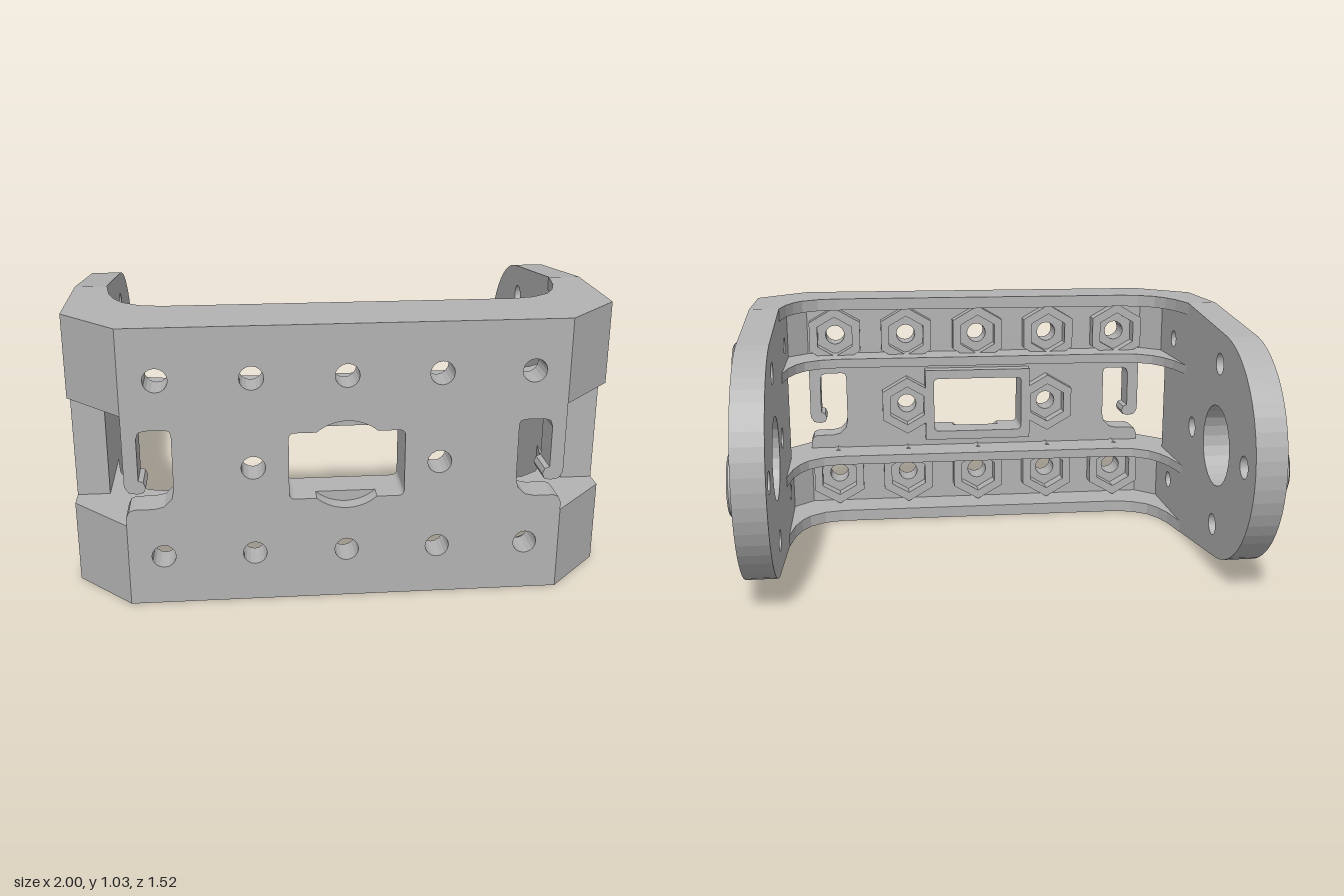
import * as THREE from 'three';
import { toCreasedNormals } from 'three/addons/utils/BufferGeometryUtils.js';

const H = 1.03, MID = 0.515, PITCH = 0.33;

export function createModel() {
  const model = new THREE.Group();
  model.name = 'servoBracket';
  const grey = new THREE.MeshStandardMaterial({ color: 0xb2b2b2 });
  grey.name = 'grey plastic';

  const add = (name, geometry, parent = model) => {
    const mesh = new THREE.Mesh(geometry, grey);
    mesh.name = name;
    parent.add(mesh);
    return mesh;
  };
  const polygon = (pts) => new THREE.Shape(pts.map(([x, y]) => new THREE.Vector2(x, y)));
  const circle = (x, y, r) => new THREE.Path().absarc(x, y, r, 0, Math.PI * 2, false);
  const extrude = (shape, depth, curveSegments = 8) =>
    new THREE.ExtrudeGeometry(shape, { depth, bevelEnabled: false, curveSegments });
  // Extrude an (x, z) outline upward from y0 to y1
  const plan = (pts, y0, y1) =>
    extrude(polygon(pts.map(([x, z]) => [x, -z])), y1 - y0).rotateX(-Math.PI / 2).translate(0, y0, 0);
  const mirrored = (pts) => [...pts, ...pts.map(([x, y]) => [-x, y]).reverse()];

  // Rounded window opening, optionally widened by a round recess
  const windowPath = (recess) => {
    const p = new THREE.Path(), a = Math.asin(0.125 / 0.165), q = Math.PI / 2;
    p.absarc(0.185, 0.62, 0.02, 0, q);
    if (recess) p.absarc(0, MID, 0.165, a, Math.PI - a);
    p.absarc(-0.185, 0.62, 0.02, q, 2 * q);
    p.absarc(-0.185, 0.41, 0.02, 2 * q, 3 * q);
    if (recess) p.absarc(0, MID, 0.165, Math.PI + a, 2 * Math.PI - a);
    p.absarc(0.185, 0.41, 0.02, 3 * q, 4 * q);
    return p;
  };

  // Screw positions on the front plate
  const screws = [[-PITCH, MID], [PITCH, MID]];
  for (const y of [0.185, 0.845])
    for (const x of [-0.655, -PITCH, 0, PITCH, 0.655]) screws.push([x, y]);

  // Front plate with cable hooks cut into both ends
  const edge = [
    [0.78, 0], [0.78, 0.34], [0.77, 0.362], [0.75, 0.37], [0.68, 0.37], [0.645, 0.378],
    [0.618, 0.405], [0.61, 0.44], [0.61, 0.645], [0.615, 0.66], [0.63, 0.665], [0.7, 0.665],
    [0.722, 0.658], [0.73, 0.635], [0.73, 0.48], [0.713, 0.474], [0.705, 0.453],
    [0.713, 0.435], [0.735, 0.43], [0.765, 0.435], [0.78, 0.46], [0.78, H],
  ];
  for (const [name, z, recess] of [['frontPlateInner', 0.64, false], ['frontPlateOuter', 0.7, true]]) {
    const shape = polygon(mirrored(edge));
    shape.holes.push(windowPath(recess), ...screws.map(([x, y]) => circle(x, y, 0.043)));
    add(name, extrude(shape, 0.06).translate(0, 0, z));
  }

  // Raised frame behind the window
  const frame = polygon([[-0.245, 0.35], [0.245, 0.35], [0.245, 0.68], [-0.245, 0.68]]);
  frame.holes.push(windowPath(false));
  add('windowFrame', extrude(frame, 0.065).translate(0, 0, 0.575));

  // Hexagonal nut pockets behind each screw hole
  const hexagon = (r) => Array.from({ length: 6 }, (_, i) => {
    const a = Math.PI / 6 + i * Math.PI / 3;
    return [r * Math.cos(a), r * Math.sin(a)];
  });
  const hex = polygon(hexagon(0.132));
  hex.holes.push(polygon(hexagon(0.09)));
  const nutGeometry = extrude(hex, 0.065);
  for (const [x, y] of screws) add('nutPocket', nutGeometry).position.set(x, y, 0.575);

  // Curved flanges and ribs running round the inside
  const ribOutline = mirrored([
    [0.64, 0.47], [0.72, 0.452], [0.785, 0.405], [0.82, 0.345], [0.845, 0.27], [0.865, 0.14],
    [0.865, 0.555], [0.78, 0.64],
  ]);
  // Reorder so the outline runs along the inner curve, then back along the wall
  const inner = ribOutline.slice(0, 8), outer = ribOutline.slice(8).reverse();
  const loop = [...inner, ...outer.slice().reverse()];
  for (const [name, y0, y1] of [['bottomFlange', 0, 0.05], ['lowerRib', 0.27, 0.31],
    ['upperRib', 0.72, 0.76], ['topFlange', 0.98, H]]) add(name, plan(loop, y0, y1));

  // Side arm outline in (-z, y)
  const arm = new THREE.Shape();
  const a0 = Math.atan2(0.449, 0.075);
  arm.moveTo(-0.475, 0);
  arm.lineTo(-0.15, 0);
  arm.absarc(0.305, MID, 0.455, -a0, a0, false);
  arm.lineTo(-0.15, H);
  arm.lineTo(-0.475, H);
  const mounts = [[-0.02, MID], [0.635, MID], [0.305, 0.845], [0.305, 0.185]];
  arm.holes.push(
    circle(0.305, MID, 0.163),
    circle(-0.35, 0.845, 0.036), circle(-0.35, 0.185, 0.036),
    ...mounts.map(([u, y]) => circle(u, y, 0.088)),
  );
  const armGeometry = extrude(arm, 0.12, 12).rotateY(Math.PI / 2).translate(0.865, 0, 0);

  // Counterbored collar that lines each mounting hole
  const collarGeometry = toCreasedNormals(new THREE.LatheGeometry([
    [0.043, 0], [0.09, 0], [0.09, 0.12], [0.118, 0.12], [0.118, 0.128], [0.108, 0.135],
    [0.088, 0.135], [0.08, 0.125], [0.08, 0.075], [0.06, 0.075], [0.06, 0.06],
    [0.043, 0.06], [0.043, 0],
  ].map(([r, y]) => new THREE.Vector2(r, y)), 24), 0.5).rotateZ(-Math.PI / 2);

  // Chamfered corner, left open at mid height
  const corner = [[0.78, 0.76], [0.985, 0.55], [0.985, 0.475], [0.865, 0.475], [0.865, 0.555], [0.78, 0.64]];

  for (const side of [1, -1]) {
    const group = new THREE.Group();
    group.name = side > 0 ? 'leftSide' : 'rightSide';
    group.scale.x = side;
    add('arm', armGeometry, group);
    for (const [u, y] of mounts) add('mountCollar', collarGeometry, group).position.set(0.865, y, -u);
    add('lowerCorner', plan(corner, 0, 0.31), group);
    add('upperCorner', plan(corner, 0.72, H), group);
    model.add(group);
  }
  return model;
}
